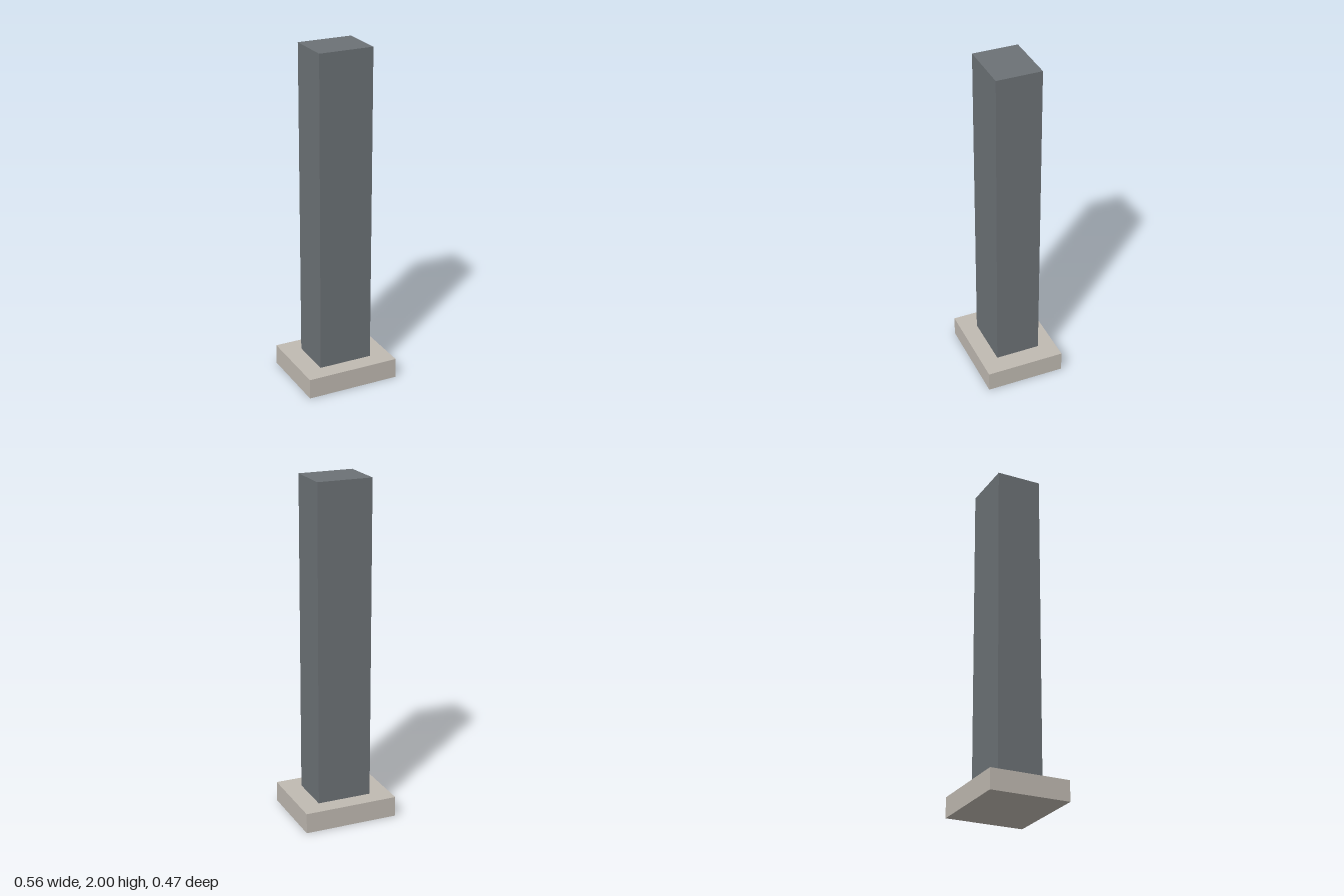
import * as THREE from 'three';

// Box standing on height y
function block(name, width, height, depth, y, color) {
  const mesh = new THREE.Mesh(
    new THREE.BoxGeometry(width, height, depth),
    new THREE.MeshStandardMaterial({ color })
  );
  mesh.name = name;
  mesh.position.y = y + height / 2;
  return mesh;
}

export function createModel() {
  const group = new THREE.Group();
  group.name = 'pillar';
  const baseHeight = 0.12;

  // Wide stone footing
  group.add(block('base', 0.56, baseHeight, 0.47, 0, 0xc0bab2));
  // Tall rectangular shaft
  group.add(block('shaft', 0.324, 2 - baseHeight, 0.266, baseHeight, 0x6c7276));

  return group;
}
